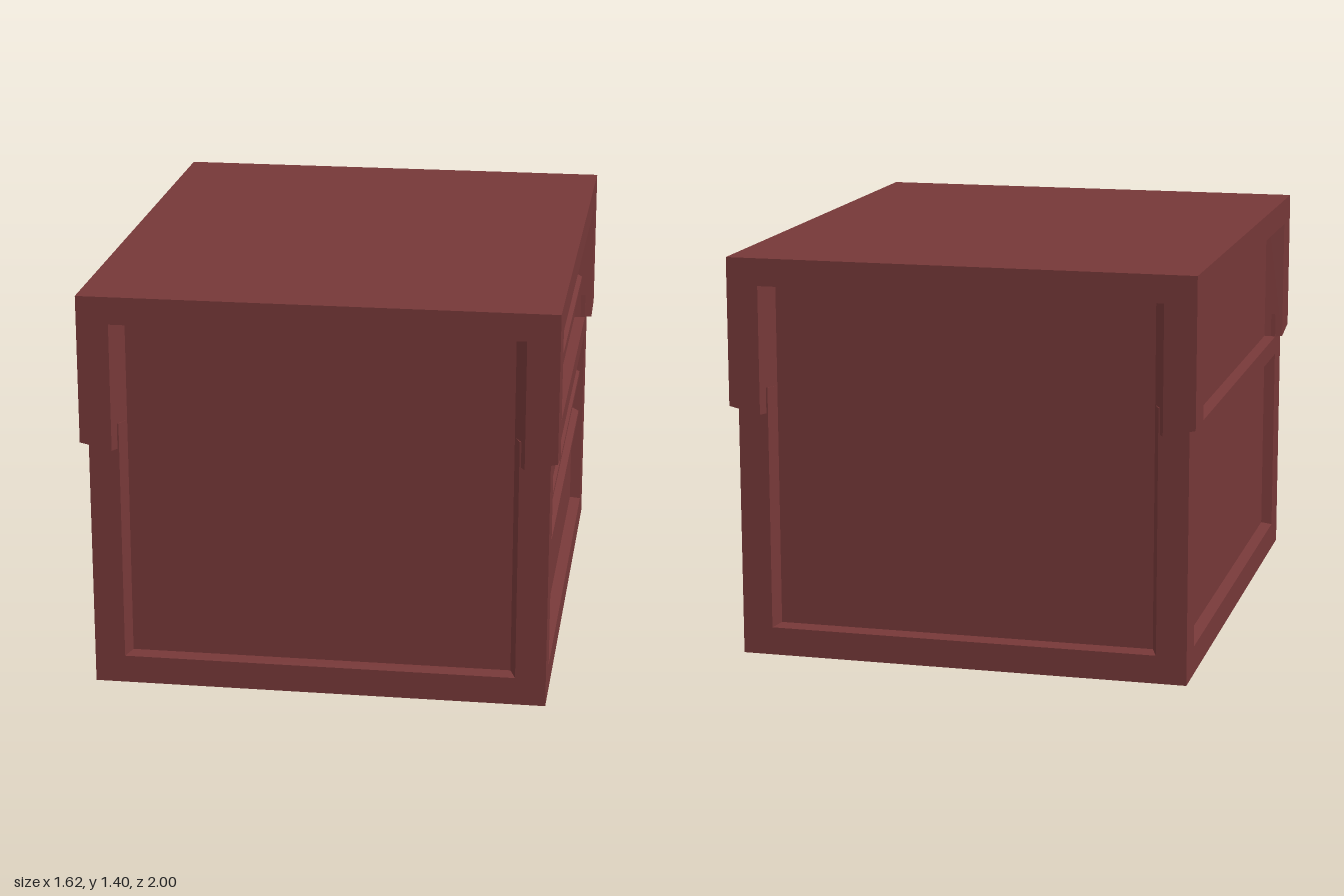
import * as THREE from 'three';

const material = new THREE.MeshStandardMaterial({ color: 0x763838, flatShading: true });

function extrude(points, depth) {
  const shape = new THREE.Shape(points.map(([a, b]) => new THREE.Vector2(a, b)));
  return new THREE.ExtrudeGeometry(shape, { depth, bevelEnabled: false });
}

export function createModel() {
  const group = new THREE.Group();
  const add = (name, geometry) => {
    const mesh = new THREE.Mesh(geometry, material);
    mesh.name = name;
    group.add(mesh);
  };

  // Horizontal bar: profile of [distance outward, height], turned to face one side
  const bar = (name, profile, length, turn) =>
    add(name, extrude(profile, length).translate(0, 0, -length / 2).rotateY(turn));

  // Corner post: plan outline of [x, z], running from bottom to top.
  // Its outermost bottom corner can be raised.
  const post = (name, plan, bottom, top, raise, sx, sz) => {
    const outline = plan.map(([x, z]) => [x * sx, z * sz]);
    const geometry = extrude(outline, top - bottom).rotateX(Math.PI / 2).translate(0, top, 0);
    const p = geometry.attributes.position;
    const [cx, cz] = plan[2];
    for (let i = 0; i < p.count; i++) {
      const atCorner = Math.abs(p.getX(i)) > cx - 0.001 && Math.abs(p.getZ(i)) > cz - 0.001;
      if (atCorner && p.getY(i) < bottom + 0.001) p.setY(i, bottom + raise);
    }
    geometry.computeVertexNormals();
    add(name, geometry);
  };

  // Core, whose faces are the floors of the recessed panels
  add('core', new THREE.BoxGeometry(1.49, 1.4, 1.86).translate(0, 0.7, 0));

  // Corner posts with bevelled inner edges; the lid's posts stand out further
  const lowerPlan = [[0.66, 0.93], [0.68, 0.975], [0.785, 0.975], [0.785, 0.845], [0.745, 0.835], [0.7, 0.88]];
  const upperPlan = [[0.66, 0.93], [0.7, 1], [0.81, 1], [0.81, 0.86], [0.745, 0.83], [0.7, 0.88]];
  for (const sx of [-1, 1]) for (const sz of [-1, 1]) {
    post('lowerCornerPost', lowerPlan, 0, 0.95, 0, sx, sz);
    post('lidCornerPost', upperPlan, 0.86, 1.4, 0.025, sx, sz);
  }

  // Rails above and below the recesses on all four sides
  const sides = [
    { name: 'right', turn: 0, floor: 0.745, length: 1.8, step: 0.04, lip: 0.065 },
    { name: 'left', turn: Math.PI, floor: 0.745, length: 1.8, step: 0.04, lip: 0.065 },
    { name: 'front', turn: -Math.PI / 2, floor: 0.93, length: 1.5, step: 0.045, lip: 0.07 },
    { name: 'back', turn: Math.PI / 2, floor: 0.93, length: 1.5, step: 0.045, lip: 0.07 },
  ];
  for (const { name, turn, floor, length, step, lip } of sides) {
    const inside = floor - 0.03;
    bar(name + 'TopRail', [[inside, 1.295], [floor, 1.295], [floor + lip, 1.305], [floor + lip, 1.4], [inside, 1.4]], length, turn);
    bar(name + 'BottomRail', [[inside, 0], [floor + step, 0], [floor + step, 0.098], [floor, 0.106], [inside, 0.106]], length, turn);
  }

  // Middle rail dividing each long side into two panels
  for (const { name, turn, floor, length, step } of sides.slice(0, 2)) {
    bar(name + 'MiddleRail', [[floor - 0.03, 0.785], [floor, 0.785], [floor + step, 0.79],
      [floor + step, 0.86], [floor, 0.864], [floor - 0.03, 0.864]], length, turn);
  }

  // Bevelled horizontal ribs on the right side
  for (const y of [1.16, 1.022, 0.632, 0.467]) {
    bar('rib', [[0.73, y - 0.022], [0.745, y - 0.022], [0.77, y - 0.01],
      [0.77, y + 0.006], [0.745, y + 0.02], [0.73, y + 0.02]], 1.67, 0);
  }

  return group;
}
